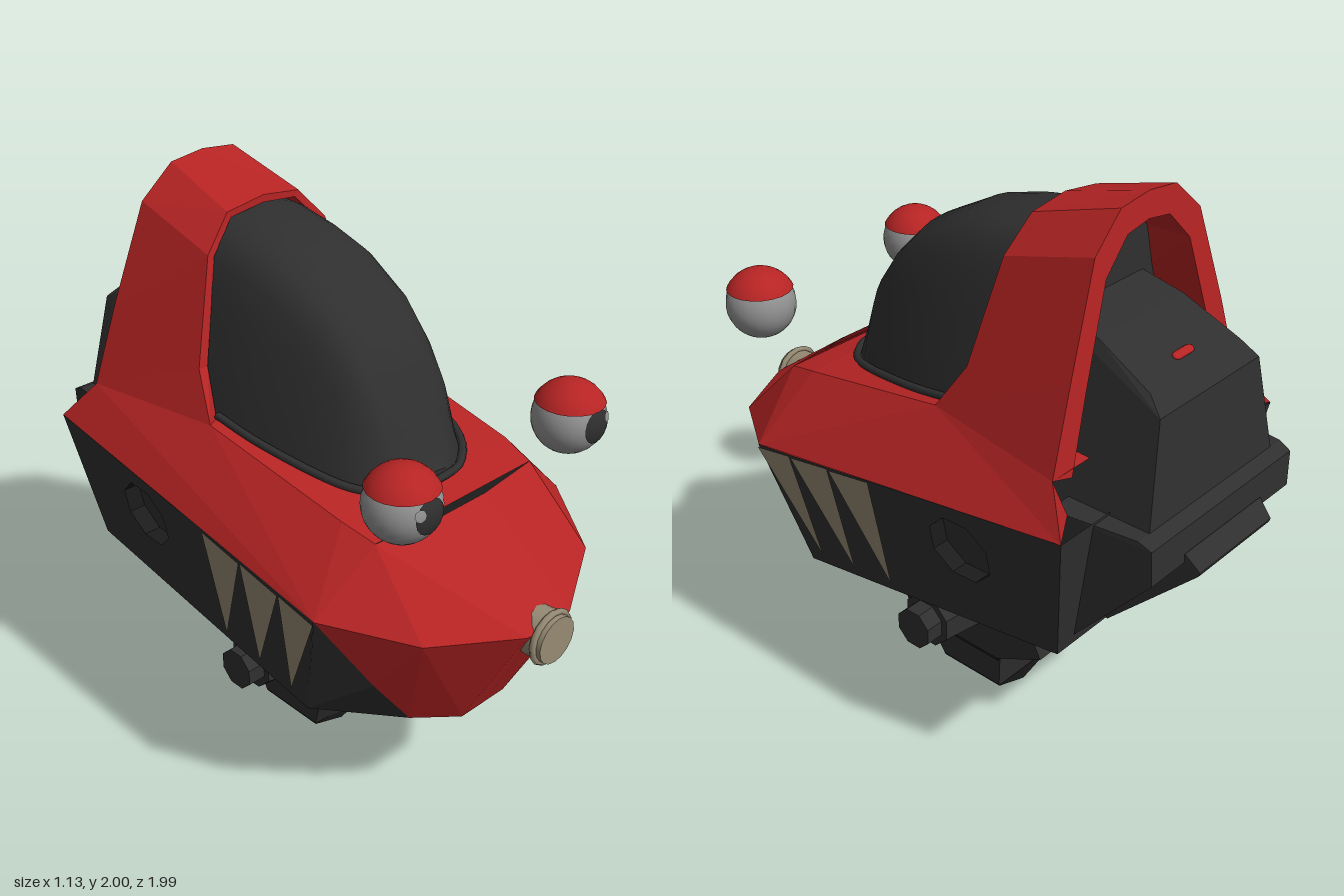
import * as THREE from 'three';
import { ConvexGeometry } from 'three/addons/geometries/ConvexGeometry.js';

const mat = (name, color) => new THREE.MeshStandardMaterial({ name, color, side: THREE.DoubleSide });

// Flat-faced geometry from polygons, each a loop of [x, y, z] corners
function facets(polys) {
  const pos = [];
  for (const p of polys)
    for (let i = 1; i < p.length - 1; i++) pos.push(...p[0], ...p[i], ...p[i + 1]);
  const g = new THREE.BufferGeometry();
  g.setAttribute('position', new THREE.Float32BufferAttribute(pos, 3));
  g.computeVertexNormals();
  return g;
}
const flip = ([x, y, z]) => [-x, y, z];
const both = polys => [...polys, ...polys.map(p => p.map(flip).reverse())];
// Convex solid from the points of its left half
const solid = pts => new ConvexGeometry([...pts, ...pts.map(flip)].map(p => new THREE.Vector3(...p)));
// Convex solid from a side profile of [z, y, halfWidth]
const slab = profile => solid(profile.map(([z, y, w]) => [w, y, z]));

const rimY = z => 0.91 + (0.97 - z) * 0.14;
const floorY = z => 0.47 + (0.73 - z) * 0.142;
const sideX = (y, z) => 0.3527 + 0.1915 * y + 0.0441 * z; // plane of the hull side

export function createModel() {
  const red = mat('red paint', 0xb72424);
  const dark = mat('dark grey', 0x2f2f2f);
  const black = mat('black trim', 0x1b1b1b);
  const tan = mat('tan', 0x968a73);
  const grey = mat('eye grey', 0x929292);

  const model = new THREE.Group();
  const add = (name, geo, material, parent = model) => {
    const m = new THREE.Mesh(geo, material);
    m.name = name;
    parent.add(m);
    return m;
  };

  // Outlines of the left half, from nose to tail
  const R = [[0, 0.97], [0.1, 0.96], [0.38, 0.8], [0.56, 0.53], [0.54, -0.75]].map(([x, z]) => [x, rimY(z), z]);
  const B = [[0, 0.73], [0.1, 0.73], [0.24, 0.63], [0.47, 0.4], [0.451, -0.68]].map(([x, z]) => [x, floorY(z), z]);
  const I = [[0, 1.17, 0.6], [0.1, 1.17, 0.6], [0.35, 1.17, 0.57], [0.37, 1.2, 0.45], [0.39, 1.3, -0.13], [0.46, 1.28, -0.65]];
  const seam = [0.4, 0.7, 0.625];

  // Lower hull: red nose, dark cheeks, floor and back
  add('nose', facets(both([
    [R[0], B[0], B[1], R[1]], [R[1], B[1], B[2], R[2]], [R[2], B[2], seam], [R[2], seam, R[3]],
  ])), red);
  add('hullFloorAndBack', facets(both([
    [R[3], seam, B[3]], [seam, B[2], B[3]],
    ...[0, 1, 2, 3].map(i => [B[i], [0, B[i][1], B[i][2]], [0, B[i + 1][1], B[i + 1][2]], B[i + 1]]),
    [R[4], B[4], [0, B[4][1], B[4][2]], [0, R[4][1], R[4][2]]],
  ])), dark);

  // Upper deck
  add('deck', facets(both([
    [I[0], R[0], R[1], I[1]], [I[1], R[1], R[2], I[2]], [I[2], R[2], R[3]],
    [I[2], R[3], I[3]], [I[3], R[3], I[4]], [I[4], R[3], R[4], I[5]],
    [I[5], R[4], [0.4, 1.14, -0.66]],
    ...[2, 3, 4].map(i => [I[i], I[i + 1], [0, I[i + 1][1], I[i + 1][2]], [0, I[i][1], I[i][2]]]),
  ])), red);

  // Roof arch: front and rear frames, each with an outer and an inner line
  const lines = [
    [I[4], [0.35, 1.45, -0.225], [0.25, 1.79, -0.28], [0.15, 1.9, -0.3], [0, 1.92, -0.3]],
    [I[5], [0.37, 1.55, -0.633], [0.25, 1.88, -0.608], [0.13, 1.985, -0.6], [0, 2, -0.6]],
    [[0.37, 1.25, -0.65], [0.3, 1.5, -0.635], [0.2, 1.8, -0.612], [0.1, 1.9, -0.605], [0, 1.915, -0.603]],
    [[0.35, 1.26, -0.14], [0.315, 1.45, -0.225], [0.225, 1.78, -0.28], [0.135, 1.88, -0.3], [0, 1.895, -0.3]],
  ];
  const archFaces = [];
  for (let k = 0; k < 4; k++)
    for (let j = 0; j < 4; j++) {
      const a = lines[k], b = lines[(k + 1) % 4];
      archFaces.push([a[j], b[j], b[j + 1], a[j + 1]]);
    }
  add('roofArch', facets(both(archFaces)), red);

  // Smooth canopy lofted along z: [z, halfWidth, topHeight]
  const stations = [[0.475, 0.1, 1.23], [0.45, 0.15, 1.26], [0.4, 0.21, 1.37], [0.34, 0.25, 1.53], [0.27, 0.275, 1.63],
    [0.17, 0.3, 1.73], [0, 0.33, 1.82], [-0.15, 0.34, 1.86], [-0.3, 0.342, 1.885], [-0.45, 0.335, 1.885]];
  const baseY = z => 1.17 + 0.17 * (0.47 - z);
  const section = new THREE.SplineCurve([[1, 0], [0.87, 0.36], [0.66, 0.8], [0.4, 0.96], [0, 1],
    [-0.4, 0.96], [-0.66, 0.8], [-0.87, 0.36], [-1, 0]].map(p => new THREE.Vector2(...p))).getPoints(24);
  const pos = [], idx = [], n = section.length;
  stations.forEach(([z, w, h], i) => section.forEach((s, j) => {
    pos.push(s.x * w, baseY(z) + s.y * (h - baseY(z)), z);
    if (i < stations.length - 1 && j < n - 1) {
      const a = i * n + j;
      idx.push(a, a + n, a + 1, a + 1, a + n, a + n + 1);
    }
  }));
  const canopyGeo = new THREE.BufferGeometry();
  canopyGeo.setAttribute('position', new THREE.Float32BufferAttribute(pos, 3));
  canopyGeo.setIndex(idx);
  canopyGeo.computeVertexNormals();
  add('canopy', canopyGeo, dark);
  const ends = [0, stations.length - 1].map(i => {
    const [z, w, h] = stations[i];
    const loop = section.map(s => [s.x * w, baseY(z) + s.y * (h - baseY(z)), z]);
    return i ? loop.reverse() : loop;
  });
  add('canopyEnds', facets(ends), dark);

  // Rim around the foot of the canopy
  const rimHalf = stations.slice(0, 8).map(([z, w]) => [w + 0.004, baseY(z) + 0.035, z]);
  const rimPath = [...rimHalf.slice().reverse(), ...rimHalf.map(flip)].map(p => new THREE.Vector3(...p));
  add('canopyRim', new THREE.TubeGeometry(new THREE.CatmullRomCurve3(rimPath), 40, 0.014, 6), dark);

  // Rear housing, engine block and tail hatch
  add('rearHousing', slab([[-0.4, 1.1, 0.33], [-0.895, 1.1, 0.325], [-0.855, 1.47, 0.25], [-0.8, 1.52, 0.225],
    [-0.6, 1.615, 0.205], [-0.4, 1.66, 0.2]]), dark);
  const lamp = add('tailLamp', new THREE.CapsuleGeometry(0.015, 0.065, 3, 8), red);
  lamp.geometry.rotateZ(Math.PI / 2);
  lamp.scale.y = 0.5;
  lamp.position.set(0, 1.546, -0.75);
  lamp.rotation.x = -0.45;
  add('rearBlock', slab([[-0.6, 1.14, 0.41], [-0.89, 1.14, 0.37], [-0.935, 1.12, 0.365], [-0.94, 1.0, 0.36],
    [-0.68, 0.7, 0.38], [-0.6, 0.7, 0.39]]), dark);
  add('tailHatch', slab([[-0.88, 1.04, 0.21], [-0.94, 1.03, 0.2], [-0.99, 0.98, 0.19], [-0.985, 0.965, 0.19],
    [-0.69, 0.675, 0.22], [-0.65, 0.72, 0.22]]), dark);
  add('hatchPanel', slab([[-0.96, 0.937, 0.15], [-0.73, 0.711, 0.17], [-0.95, 0.945, 0.15], [-0.72, 0.72, 0.17]]), black);

  // Neck and foot
  add('neck', slab([[0.29, 0.55, 0.23], [0.2, 0.23, 0.19], [-0.21, 0.23, 0.19], [-0.41, 0.34, 0.2], [-0.32, 0.6, 0.23]]), dark);
  add('neckBand', slab([[0.17, 0.235, 0.18], [0.14, 0.205, 0.175], [-0.2, 0.205, 0.175], [-0.21, 0.235, 0.18]]), black);
  add('foot', slab([[0.14, 0.21, 0.17], [-0.205, 0.21, 0.17], [0.085, 0.065, 0.145], [-0.18, 0.065, 0.145],
    [0.07, 0.01, 0], [-0.17, 0.01, 0]]), dark);
  add('footTip', slab([[0.086, 0.06, 0.144], [-0.181, 0.06, 0.144], [0.071, 0, 0], [-0.171, 0, 0]]), black);

  // Nose lamp
  const noseLamp = add('noseLamp', new THREE.CylinderGeometry(0.08, 0.085, 0.13, 16), tan);
  noseLamp.rotation.x = Math.PI / 2;
  noseLamp.position.set(0, 0.87, 0.93);
  const noseRing = add('noseLampRing', new THREE.TorusGeometry(0.085, 0.011, 6, 16), tan);
  noseRing.position.set(0, 0.87, 0.97);

  // Parts repeated on each side
  for (const s of [1, -1]) {
    const side = new THREE.Group();
    side.name = s > 0 ? 'leftSide' : 'rightSide';
    side.scale.x = s;
    model.add(side);

    // Drawn in (-z, y) and laid on the sloping hull side
    const onSide = (shape, lift) => {
      const g = new THREE.ShapeGeometry(shape).toNonIndexed(), p = g.attributes.position;
      for (let i = 0; i < p.count; i++) {
        const z = -p.getX(i), y = p.getY(i);
        p.setXYZ(i, sideX(y, z) + lift, y, z);
      }
      g.computeVertexNormals();
      return g;
    };
    const shapeOf = pts => new THREE.Shape(pts.map(([z, y]) => new THREE.Vector2(-z, y)));
    const port = [];
    for (let k = 0; k < 8; k++) {
      const a = (k + 0.5) * Math.PI / 4;
      port.push([-0.34 + 0.12 * Math.cos(a), 0.925 + 0.12 * Math.sin(a)]);
    }
    const wall = shapeOf([R[3], B[3], B[4], R[4]].map(p => [p[2], p[1]]));
    wall.holes.push(shapeOf(port));
    add('hullSide', onSide(wall, 0), dark, side);
    add('portFloor', onSide(shapeOf(port), -0.06), dark, side);
    add('portWall', facets(port.map(([z, y], k) => {
      const [z2, y2] = port[(k + 1) % 8], x = sideX(y, z), x2 = sideX(y2, z2);
      return [[x, y, z], [x2, y2, z2], [x2 - 0.06, y2, z2], [x - 0.06, y, z]];
    })), black, side);

    // Painted teeth
    [[0.53, 0.375, 0.335, 0.565], [0.37, 0.195, 0.18, 0.585], [0.19, 0.01, 0.01, 0.6]].forEach(([z1, z2, z3, y3]) =>
      add('tooth', onSide(shapeOf([[z1, rimY(z1) - 0.01], [z3, y3], [z2, rimY(z2) - 0.005]]), 0.004), tan, side));

    // Octagonal neck pivot
    [[0.12, 0.1, 0.17, 0.26], [0.075, 0.075, 0.1, 0.362]].forEach(([r1, r2, len, x]) => {
      const g = new THREE.CylinderGeometry(r2, r1, len, 8).toNonIndexed();
      g.rotateY(Math.PI / 8).rotateZ(-Math.PI / 2).computeVertexNormals();
      add('neckPivot', g, dark, side).position.set(x, 0.395, -0.025);
    });

    // Floating eye with lid, pupil and glint
    const eye = new THREE.Group();
    eye.name = 'eye';
    eye.position.set(0.37, 1.375, 0.69);
    side.add(eye);
    add('eyeball', new THREE.SphereGeometry(0.118, 24, 16), grey, eye);
    add('eyelid', new THREE.SphereGeometry(0.125, 20, 6, 0, Math.PI * 2, 0, 1.1), red, eye);
    const lidEdge = add('eyelidUnderside', new THREE.CircleGeometry(0.111, 20), red, eye);
    lidEdge.rotation.x = Math.PI / 2;
    lidEdge.position.y = 0.057;
    const pupil = add('pupil', new THREE.SphereGeometry(0.121, 16, 4, 0, Math.PI * 2, 0, 0.48), dark, eye);
    pupil.rotation.x = Math.PI / 2 - 0.05;
    const glint = add('glint', new THREE.SphereGeometry(0.123, 8, 2, 0, Math.PI * 2, 0, 0.15), grey, eye);
    glint.rotation.set(Math.PI / 2 - 0.22, 0, -0.36);
  }
  return model;
}
